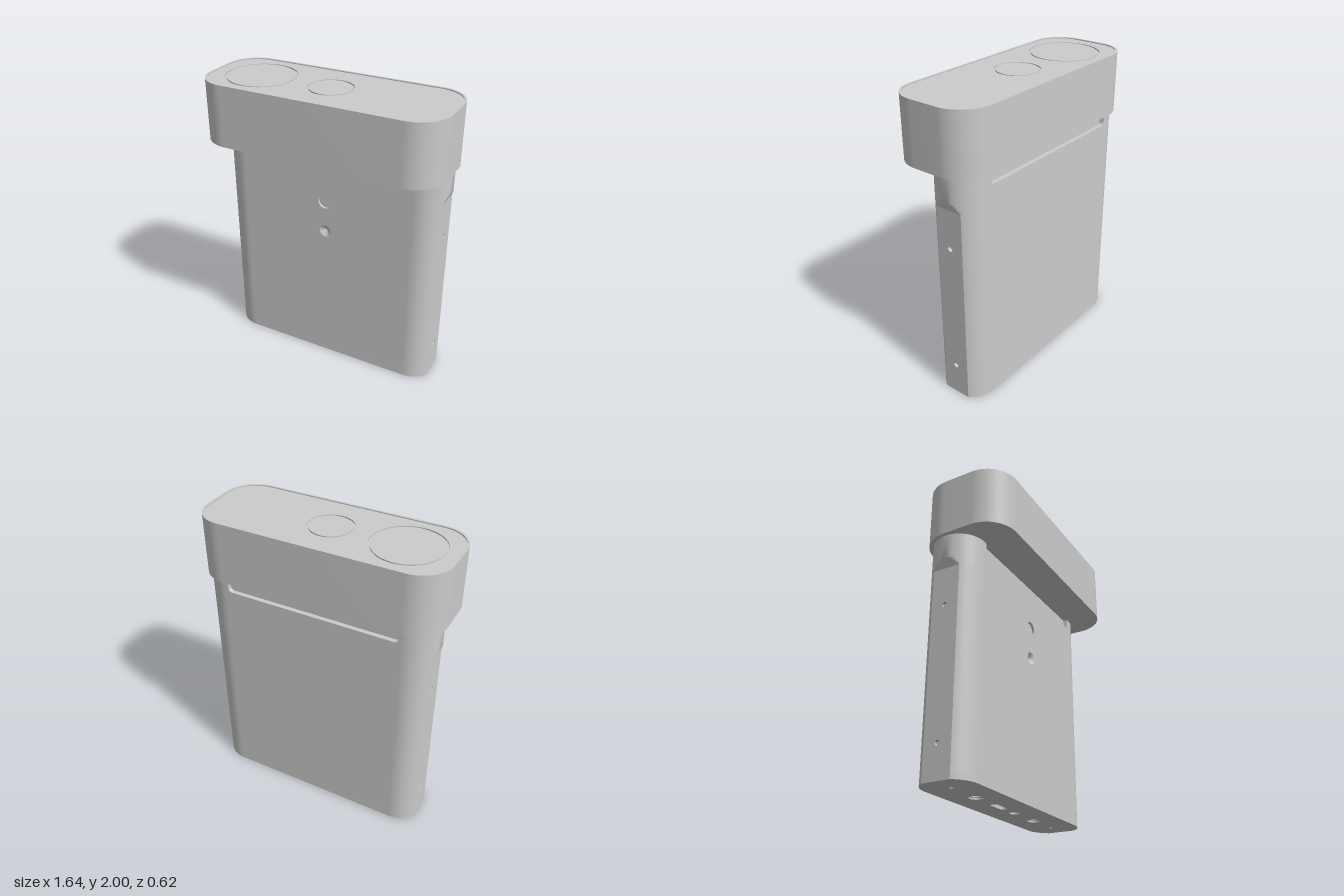
import * as THREE from 'three';
import { toCreasedNormals } from 'three/addons/utils/BufferGeometryUtils.js';

const grey = new THREE.MeshStandardMaterial({ color: 0xcccccc });
const greyDouble = new THREE.MeshStandardMaterial({ color: 0xcccccc, side: THREE.DoubleSide });

const BODY_Z = -0.1, END_X = 0.615, END_R = 0.18, FLAT_X = 0.768, SKIN = 0.03;
const BASE = 0.05, BODY_TOP = 1.6;
const FLAT_T = Math.acos((FLAT_X - END_X) / END_R); // angle where the side flat starts
const FLAT_W = END_R * Math.sin(FLAT_T);

function add(parent, name, geometry, x = 0, y = 0, z = 0, material = grey) {
  const mesh = new THREE.Mesh(geometry, material);
  mesh.name = name;
  mesh.position.set(x, y, z);
  parent.add(mesh);
  return mesh;
}

function circle(x, y, r) {
  const p = new THREE.Shape();
  p.absarc(x, y, r, 0, Math.PI * 2);
  return p;
}

function roundedRect(hx, hy, r, cx = 0, cy = 0) {
  const s = new THREE.Shape();
  s.absarc(cx + hx - r, cy + hy - r, r, 0, Math.PI / 2);
  s.absarc(cx - hx + r, cy + hy - r, r, Math.PI / 2, Math.PI);
  s.absarc(cx - hx + r, cy - hy + r, r, Math.PI, Math.PI * 1.5);
  s.absarc(cx + hx - r, cy - hy + r, r, Math.PI * 1.5, Math.PI * 2);
  s.closePath();
  return s;
}

function slab(shape, depth, holes = []) {
  shape.holes.push(...holes);
  const g = new THREE.ExtrudeGeometry(shape, { depth, bevelEnabled: false, curveSegments: 24 });
  return toCreasedNormals(g, 0.5);
}

// Slab lying flat, rising in y
const flatSlab = (shape, depth, holes) => slab(shape, depth, holes).rotateX(-Math.PI / 2);

// Front or back skin with a shallow notch at its top edge
function skinGeometry(holes) {
  const w = 0.593, b = 1.51, r = 0.03;
  const s = new THREE.Shape();
  s.moveTo(-END_X, BASE);
  s.lineTo(END_X, BASE);
  s.lineTo(END_X, BODY_TOP);
  s.lineTo(w, BODY_TOP);
  s.lineTo(w, b + r);
  s.quadraticCurveTo(w, b, w - r, b);
  s.lineTo(-w + r, b);
  s.quadraticCurveTo(-w, b, -w, b + r);
  s.lineTo(-w, BODY_TOP);
  s.lineTo(-END_X, BODY_TOP);
  s.closePath();
  return slab(s, SKIN, holes);
}

// Rounded end whose side is cut flat up to a sloping scallop
function endGeometry() {
  const angles = [];
  for (let i = 0; i <= 16; i++) angles.push(-Math.PI / 2 + (Math.PI / 2 - FLAT_T) * i / 16);
  for (let i = 1; i <= 24; i++) angles.push(-FLAT_T + 2 * FLAT_T * i / 24);
  for (let i = 1; i <= 16; i++) angles.push(FLAT_T + (Math.PI / 2 - FLAT_T) * i / 16);
  const levels = [[BASE, FLAT_X]];
  for (let i = 0; i <= 10; i++) levels.push([1.36 + 0.007 * i, FLAT_X + 0.0027 * i]);
  levels.push([BODY_TOP, 1]);
  const pos = [], index = [], n = angles.length;
  levels.forEach(([y, limit], j) => angles.forEach((t, i) => {
    pos.push(Math.min(END_X + END_R * Math.cos(t), limit), y, END_R * Math.sin(t));
    const onFlat = j === 0 && i >= 16 && i < 40; // left open for the side plate
    if (j === levels.length - 1 || i === n - 1 || onFlat) return;
    const a = j * n + i;
    index.push(a, a + n, a + 1, a + n, a + n + 1, a + 1);
  }));
  const g = new THREE.BufferGeometry();
  g.setAttribute('position', new THREE.Float32BufferAttribute(pos, 3));
  g.setIndex(index);
  return toCreasedNormals(g.toNonIndexed(), 0.45);
}

function buildBody() {
  const body = new THREE.Group();
  body.name = 'body';
  body.position.z = BODY_Z;

  // Inner core closes the bottoms of the recesses
  const h = BODY_TOP - BASE, midY = BASE + h / 2;
  add(body, 'core', new THREE.BoxGeometry(END_X * 2, h, 2 * (END_R - SKIN)), 0, midY);
  add(body, 'coreEnds', new THREE.BoxGeometry(1.496, 1.3, 0.18), 0, BASE + 0.65);

  // Front with button and countersunk hole, plain back
  const front = [circle(0, 1.237, 0.05), circle(0, 1.015, 0.042)];
  add(body, 'frontSkin', skinGeometry(front), 0, 0, END_R - SKIN);
  add(body, 'backSkin', skinGeometry([]), 0, 0, -(END_R - SKIN)).rotation.y = Math.PI;
  const button = new THREE.CylinderGeometry(0.05, 0.05, 0.014, 40).rotateX(Math.PI / 2);
  add(body, 'button', button, 0, 1.237, END_R - SKIN + 0.007);
  const cone = [new THREE.Vector2(0, 0.002), new THREE.Vector2(0.042, SKIN)];
  add(body, 'countersink', new THREE.LatheGeometry(cone, 40).rotateX(Math.PI / 2),
    0, 1.015, END_R - SKIN, greyDouble);

  // Ends with drilled side plates, one turned round for the other side
  for (const turn of [0, Math.PI]) {
    const end = new THREE.Group();
    end.name = turn ? 'rightEnd' : 'leftEnd';
    end.rotation.y = turn;
    add(end, 'roundedEnd', endGeometry());
    const plate = new THREE.Shape();
    plate.moveTo(-FLAT_W, BASE);
    plate.lineTo(FLAT_W, BASE);
    plate.lineTo(FLAT_W, 1.36);
    plate.lineTo(-FLAT_W, 1.36);
    plate.closePath();
    const holes = [circle(0, 0.22, 0.017), circle(0, 1.1, 0.017)];
    add(end, 'sidePlate', slab(plate, 0.02, holes).rotateY(Math.PI / 2), FLAT_X - 0.02);
    body.add(end);
  }

  // Bottom plate with sockets, slot and screw holes
  const outline = new THREE.Shape();
  outline.absarc(END_X, 0, END_R, FLAT_T, Math.PI / 2);
  outline.absarc(-END_X, 0, END_R, Math.PI / 2, Math.PI - FLAT_T);
  outline.absarc(-END_X, 0, END_R, Math.PI + FLAT_T, Math.PI * 1.5);
  outline.absarc(END_X, 0, END_R, Math.PI * 1.5, Math.PI * 2 - FLAT_T);
  outline.closePath();
  const ports = [[0.61, 0.013], [0.36, 0.045], [0.1, 0.035], [-0.355, 0.045], [-0.61, 0.013]];
  const holes = ports.map(([x, r]) => circle(x, 0, r));
  holes.push(roundedRect(0.075, 0.025, 0.024, -0.095, 0));
  add(body, 'bottomPlate', flatSlab(outline, BASE, holes));
  for (const [x, r] of ports) {
    if (r < 0.03) continue;
    add(body, 'socketRing', flatSlab(circle(0, 0, r), 0.04, [circle(0, 0, r * 0.72)]), x, 0.01);
  }
  return body;
}

function buildHead() {
  const head = new THREE.Group();
  head.name = 'head';
  const rim = 0.015;
  const inner = () => roundedRect(0.82 - rim, 0.31 - rim, 0.21 - rim);
  add(head, 'headShell', flatSlab(roundedRect(0.82, 0.31, 0.21), 0.397), 0, 1.588);
  add(head, 'topRim', flatSlab(roundedRect(0.82, 0.31, 0.21), 0.015, [inner()]), 0, 1.985);

  // Slightly sunken top panel with two discs set in thin ring grooves
  const discs = [[-0.5, 0.235], [0, 0.148]];
  const gaps = discs.map(([x, r]) => circle(x, 0, r));
  add(head, 'topPanel', flatSlab(inner(), 0.008, gaps), 0, 1.985);
  for (const [x, r] of discs) {
    add(head, 'topDisc', new THREE.CylinderGeometry(r - 0.013, r - 0.013, 0.008, 64), x, 1.989);
  }
  return head;
}

export function createModel() {
  const model = new THREE.Group();
  model.name = 'handheldDevice';
  model.add(buildBody(), buildHead());
  return model;
}
